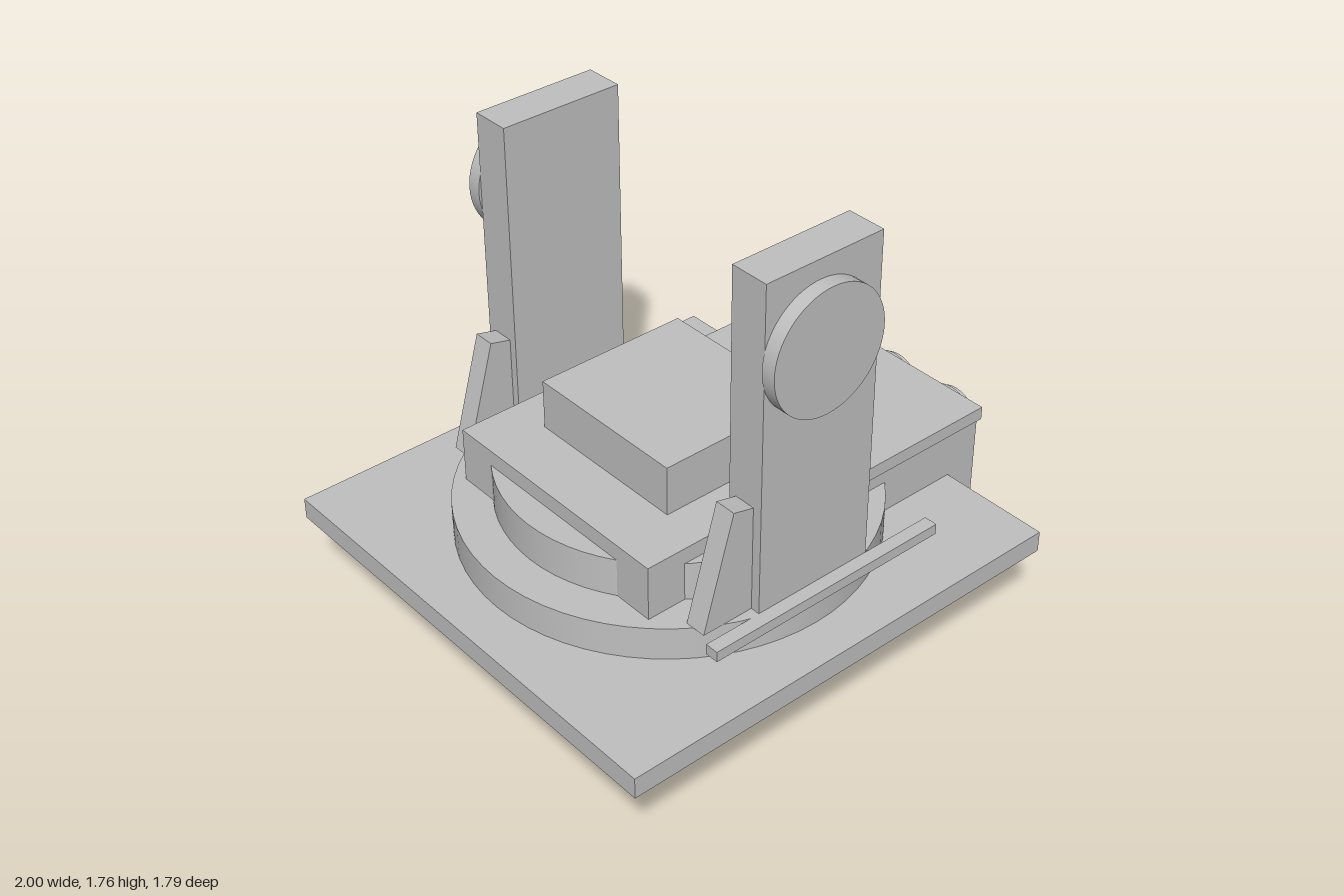
import * as THREE from 'three';

const grey = new THREE.MeshStandardMaterial({ color: 0xc0c0c0 });
grey.name = 'plainGrey';

export function createModel() {
  const model = new THREE.Group();
  model.name = 'turretMount';

  const add = (name, geometry) => {
    const mesh = new THREE.Mesh(geometry, grey);
    mesh.name = name;
    model.add(mesh);
    return mesh;
  };
  // Box given by its limits along each axis
  const box = (name, x0, x1, y0, y1, z0, z1) =>
    add(name, new THREE.BoxGeometry(x1 - x0, y1 - y0, z1 - z0))
      .position.set((x0 + x1) / 2, (y0 + y1) / 2, (z0 + z1) / 2);
  // Cylinder along an axis, from a to b; u and v are the other two coordinates in xyz order
  const rod = (name, axis, r, a, b, u, v) => {
    const g = new THREE.CylinderGeometry(r, r, b - a, 64);
    const m = (a + b) / 2;
    if (axis === 'x') g.rotateZ(-Math.PI / 2).translate(m, u, v);
    if (axis === 'y') g.translate(u, m, v);
    if (axis === 'z') g.rotateX(Math.PI / 2).translate(u, v, m);
    return add(name, g);
  };

  const cx = -0.105; // turning axis

  // Base plate and turntable
  box('basePlate', -1, 0.785, 0.34, 0.42, -0.895, 0.895);
  rod('turntable', 'y', 0.735, 0.42, 0.545, cx, 0);
  rod('turntableStep', 'y', 0.595, 0.545, 0.69, cx, 0);
  box('upperBlock', -0.6, 0.3, 0.545, 0.75, -0.484, 0.484);
  box('topBlock', -0.38, 0.21, 0.75, 0.935, -0.318, 0.318);
  box('frontRail', -0.54, 0.43, 0.505, 0.545, 0.69, 0.74);

  // Sloped brace profile behind each tower
  const brace = new THREE.Shape([
    [-0.52, 0.545], [-0.32, 0.545], [-0.32, 0.945], [-0.4, 0.965],
  ].map(([x, y]) => new THREE.Vector2(x, y)));

  // Towers, pivots, braces, side walls and axle flanges on both sides
  for (const s of [1, -1]) {
    const sided = (name, x0, x1, y0, y1, a, b) =>
      box(name, x0, x1, y0, y1, Math.min(s * a, s * b), Math.max(s * a, s * b));
    const sidedDisc = (name, r, y, a, b) =>
      rod(name, 'z', r, Math.min(s * a, s * b), Math.max(s * a, s * b), cx, y);
    sided('tower', -0.32, 0.15, 0.545, 1.765, 0.545, 0.69);
    sidedDisc('towerPivot', 0.225, 1.47, 0.69, 0.743);
    add('towerBrace', new THREE.ExtrudeGeometry(brace, { depth: 0.08, bevelEnabled: false }))
      .position.z = s * 0.615 - 0.04;
    sided('launcherWall', -0.34, 0.915, 0.075, 0.61, 0.41, 0.465);
    sidedDisc('axleFlange', 0.17, 0.34, 0.465, 0.545);
  }
  rod('axle', 'z', 0.07, -0.51, 0.51, cx, 0.34);

  // Launcher box
  box('launcherRoof', -0.39, 0.915, 0.61, 0.66, -0.485, 0.485);
  box('launcherFloor', -0.39, 0.915, 0.025, 0.075, -0.485, 0.485);
  box('rearStrip', -0.46, -0.41, 0, 0.34, -0.485, 0.485);

  // Two rows of three tubes with stepped caps
  for (const y of [0.19, 0.495]) {
    for (const z of [-0.285, 0, 0.285]) {
      rod('tube', 'x', 0.12, -0.41, 0.975, y, z);
      rod('tubeCap', 'x', 0.105, 0.975, 1, y, z);
    }
  }
  return model;
}
